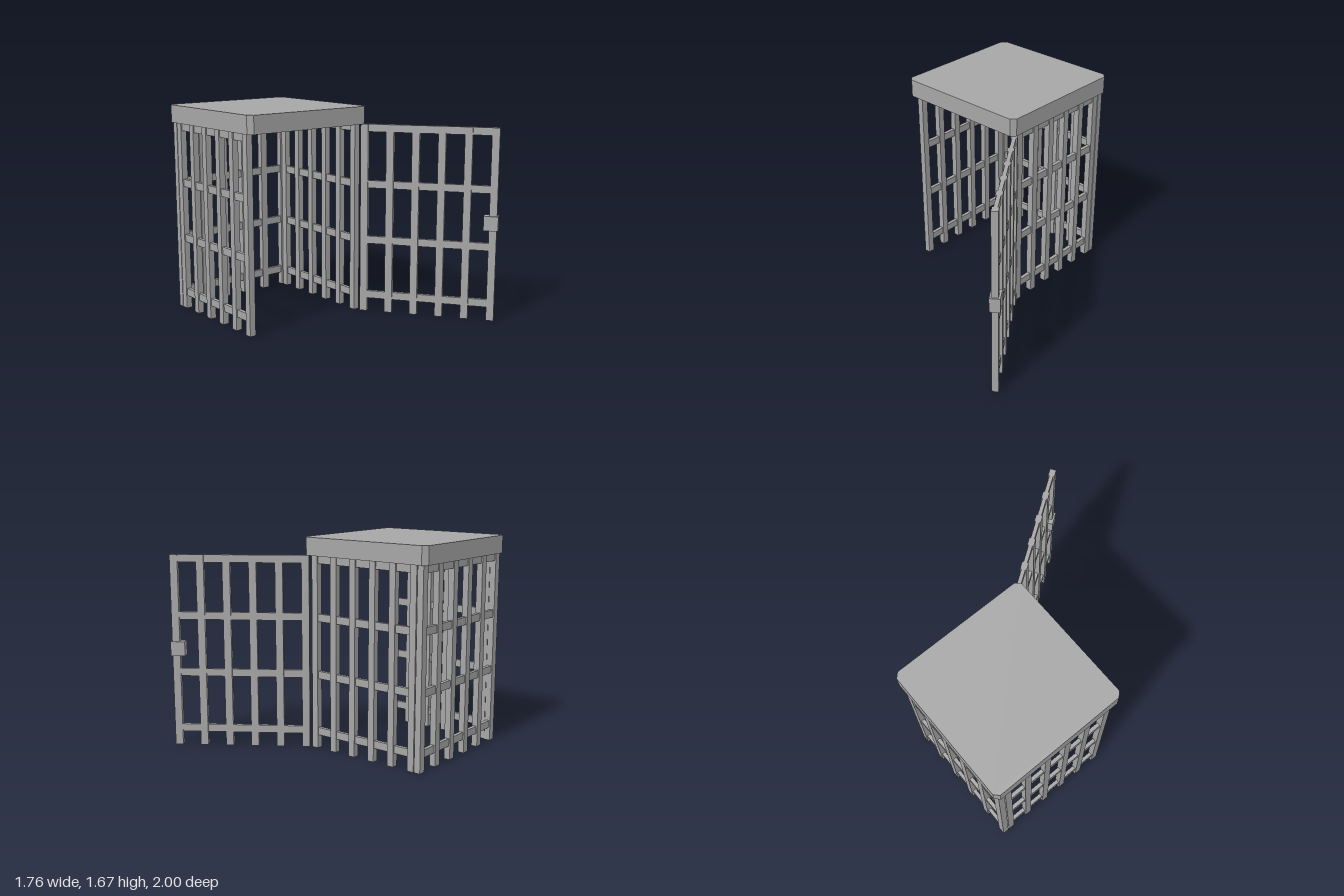
import * as THREE from 'three';

const steel = new THREE.MeshStandardMaterial({ color: 0xa6a6a6 });
steel.name = 'grey steel';

const BAR_HEIGHT = 1.53;
const RAIL_HEIGHTS = [0.137, 0.595, 1.05, 1.5];

function addBox(parent, name, size, position) {
  const mesh = new THREE.Mesh(new THREE.BoxGeometry(...size), steel);
  mesh.name = name;
  mesh.position.set(...position);
  parent.add(mesh);
  return mesh;
}

// Lattice of six upright bars and four thinner rails, running along local x
function latticePanel(name, spacing, barWidth) {
  const panel = new THREE.Group();
  panel.name = name;
  for (let i = 0; i < 6; i++) {
    addBox(panel, 'bar', [barWidth, BAR_HEIGHT, 0.05], [(i - 2.5) * spacing, BAR_HEIGHT / 2, 0]);
  }
  for (const y of RAIL_HEIGHTS) {
    addBox(panel, 'rail', [spacing * 5, 0.06, 0.03], [0, y, 0]);
  }
  return panel;
}

export function createModel() {
  const cage = new THREE.Group();
  cage.name = 'cage';
  const cx = -0.3175;

  // Roof slab with clipped corners
  const h = 0.5625, c = 0.036;
  const outline = new THREE.Shape([
    [h, h - c], [h - c, h], [c - h, h], [-h, h - c],
    [-h, c - h], [c - h, -h], [h - c, -h], [h, c - h],
  ].map(([x, y]) => new THREE.Vector2(x, y)));
  const slab = new THREE.ExtrudeGeometry(outline, { depth: 0.14, bevelEnabled: false });
  slab.rotateX(-Math.PI / 2);
  const roof = new THREE.Mesh(slab, steel);
  roof.name = 'roof';
  roof.position.set(cx, BAR_HEIGHT, -0.4375);
  cage.add(roof);

  // Back wall
  const back = latticePanel('backWall', 0.205, 0.06);
  back.position.set(cx, 0, -0.945);
  cage.add(back);

  // Side walls
  for (const [name, side] of [['leftWall', 1], ['rightWall', -1]]) {
    const wall = latticePanel(name, 0.182, 0.055);
    wall.rotation.y = Math.PI / 2;
    wall.position.set(cx + side * 0.5175, 0, -0.43);
    cage.add(wall);
  }

  // Open door with its lock box
  const door = latticePanel('door', 0.205, 0.06);
  addBox(door, 'lockBox', [0.113, 0.115, 0.08], [0.497, 0.787, 0]);
  door.rotation.y = -THREE.MathUtils.degToRad(55);
  door.position.set(0.531, 0, 0.525);
  cage.add(door);

  return cage;
}
